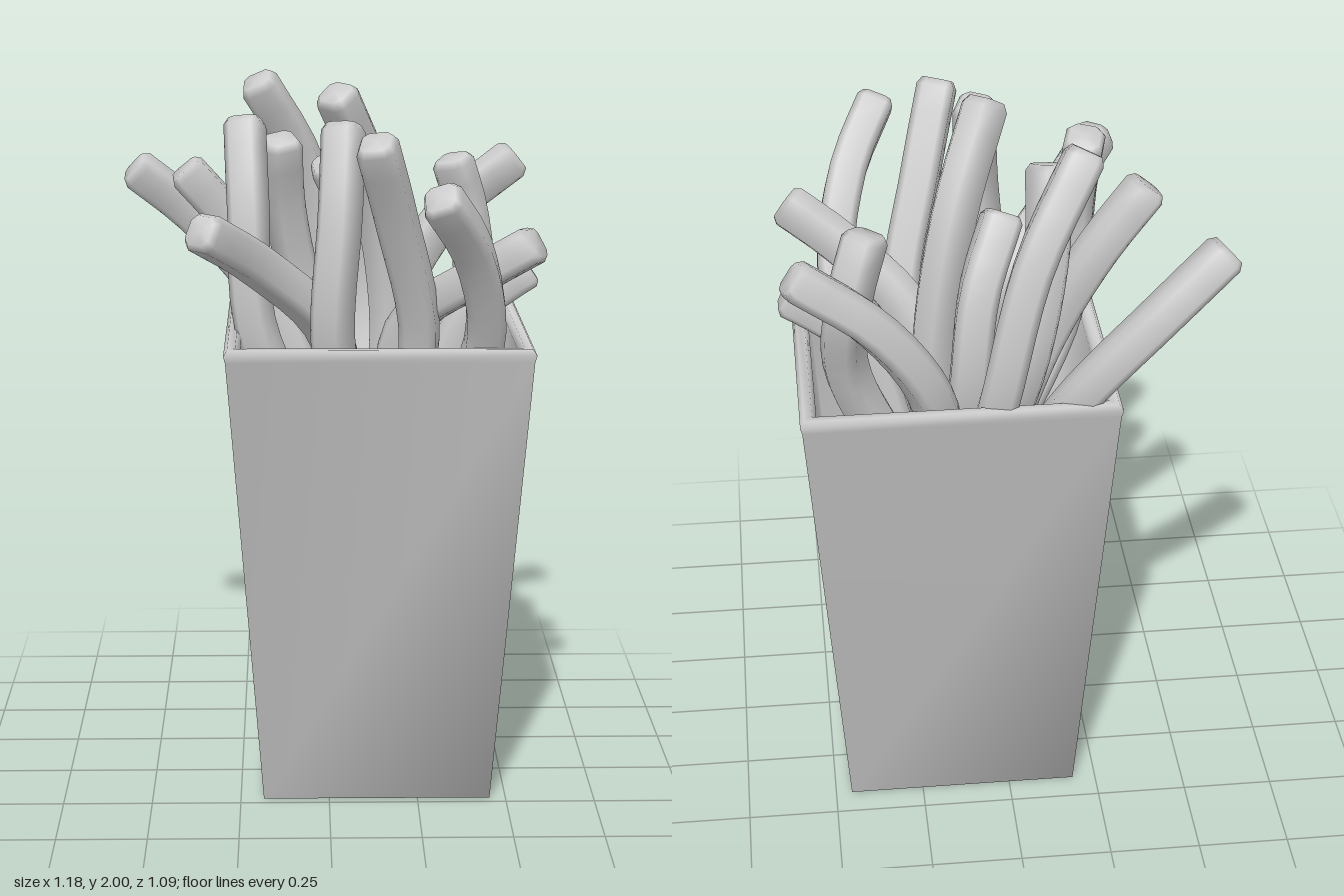
import * as THREE from 'three';

const V = (x, y, z) => new THREE.Vector3(x, y, z);
const RIM = 1.32, CX = 0.135, CZ = -0.1;

// Smooth closed skin over a list of equal-length rings, capped at both ends
function loft(rings) {
  const n = rings[0].length, pos = [], index = [];
  rings.forEach(r => r.forEach(p => pos.push(p.x, p.y, p.z)));
  const last = (rings.length - 1) * n, c0 = rings.length * n;
  [rings[0], rings[rings.length - 1]].forEach(r => {
    const c = r.reduce((s, p) => s.add(p), V(0, 0, 0)).divideScalar(n);
    pos.push(c.x, c.y, c.z);
  });
  for (let j = 0; j < n; j++) {
    const k = (j + 1) % n;
    for (let i = 0; i < last; i += n) {
      index.push(i + j, i + k, i + n + k, i + j, i + n + k, i + n + j);
    }
    index.push(c0, k, j, c0 + 1, last + j, last + k);
  }
  const g = new THREE.BufferGeometry();
  g.setAttribute('position', new THREE.Float32BufferAttribute(pos, 3));
  g.setIndex(index);
  g.computeVertexNormals();
  return g;
}

// Square section with softened corners, counter-clockwise
const H = 0.052, C = 0.032;
const section = [[H, -C], [H, C], [C, H], [-C, H], [-H, C], [-H, -C], [-C, -H], [C, -H]];

// Curved stick: tip point, bend (x, z) a little over halfway up, and where it crosses the rim (x, z).
// The root continues below the rim towards the cup's axis.
function fryGeometry([tip, bend, rim]) {
  const root = V((rim[0] + CX) / 2, 0.95, (rim[1] + CZ) / 2);
  const end = V(...tip);
  const bendY = RIM + (end.y - RIM) * 0.6;
  const curve = new THREE.CatmullRomCurve3([root, V(rim[0], RIM, rim[1]), V(bend[0], bendY, bend[1]), end]);
  const side = V(root.z - end.z, 0, end.x - root.x).normalize();
  const ring = (t, scale) => {
    const c = curve.getPointAt(t), d = curve.getTangentAt(t);
    const u = side.clone().addScaledVector(d, -side.dot(d)).normalize();
    const w = d.clone().cross(u);
    return section.map(([a, b]) => c.clone().addScaledVector(u, a * scale).addScaledVector(w, b * scale));
  };
  const rings = [ring(0, 0.8)];
  for (let i = 0; i <= 14; i++) rings.push(ring(0.015 + 0.965 * i / 14, 1));
  rings.push(ring(1, 0.78));
  return loft(rings);
}

// Fries hanging over the edges
const leaningFries = [
  [[-0.56, 1.71, -0.42], [-0.38, -0.47], [-0.18, -0.45]],
  [[0.56, 1.73, -0.49], [0.36, -0.47], [0.21, -0.41]],
  [[0.57, 1.47, -0.1], [0.48, -0.1], [0.38, -0.1]],
  [[0.56, 1.59, 0.2], [0.4, 0.13], [0.22, 0]],
  [[-0.4, 1.75, -0.11], [-0.26, -0.14], [-0.13, -0.12]],
  [[0.28, 1.76, 0.5], [0.38, 0.36], [0.42, 0.22]],
  [[-0.34, 1.66, 0.41], [-0.18, 0.22], [0, 0.07]],
];

// Fries standing in the middle
const uprightFries = [
  [[0.12, 1.88, 0.33], [0.18, 0.22], [0.25, 0.1]],
  [[-0.2, 1.97, -0.34], [-0.06, -0.44], [0.03, -0.45]],
  [[0.02, 1.97, -0.01], [0.12, -0.15], [0.18, -0.18]],
  [[0.04, 1.9, 0.12], [0.03, 0.2], [0.01, 0.2]],
  [[-0.23, 1.89, -0.09], [-0.22, 0], [-0.2, 0.02]],
  [[-0.13, 1.83, -0.12], [-0.12, -0.2], [-0.06, -0.26]],
  [[0.36, 1.75, -0.31], [0.41, -0.34], [0.42, -0.25]],
  [[0, 1.75, -0.23], [0.07, -0.32], [0.1, -0.34]],
];

export function createModel() {
  const group = new THREE.Group();
  const material = new THREE.MeshStandardMaterial({ color: 0xcccccc });
  const add = (name, geometry) => {
    const mesh = new THREE.Mesh(geometry, material);
    mesh.name = name;
    group.add(mesh);
  };

  // Tapered square cup: outer wall, rounded rim, inner wall, floor as [half width, height]
  const profile = [[0.32, 0], [0.415, 1.285], [0.42, 1.305], [0.41, RIM], [0.388, RIM], [0.376, 1.3], [0.285, 0.05]];
  add('cup', loft(profile.map(([h, y]) =>
    [[1, 1], [1, -1], [-1, -1], [-1, 1]].map(([sx, sz]) => V(CX + sx * h, y, CZ + sz * h)))));

  leaningFries.forEach((points, i) => add('leaningFry' + (i + 1), fryGeometry(points)));
  uprightFries.forEach((points, i) => add('uprightFry' + (i + 1), fryGeometry(points)));
  return group;
}
